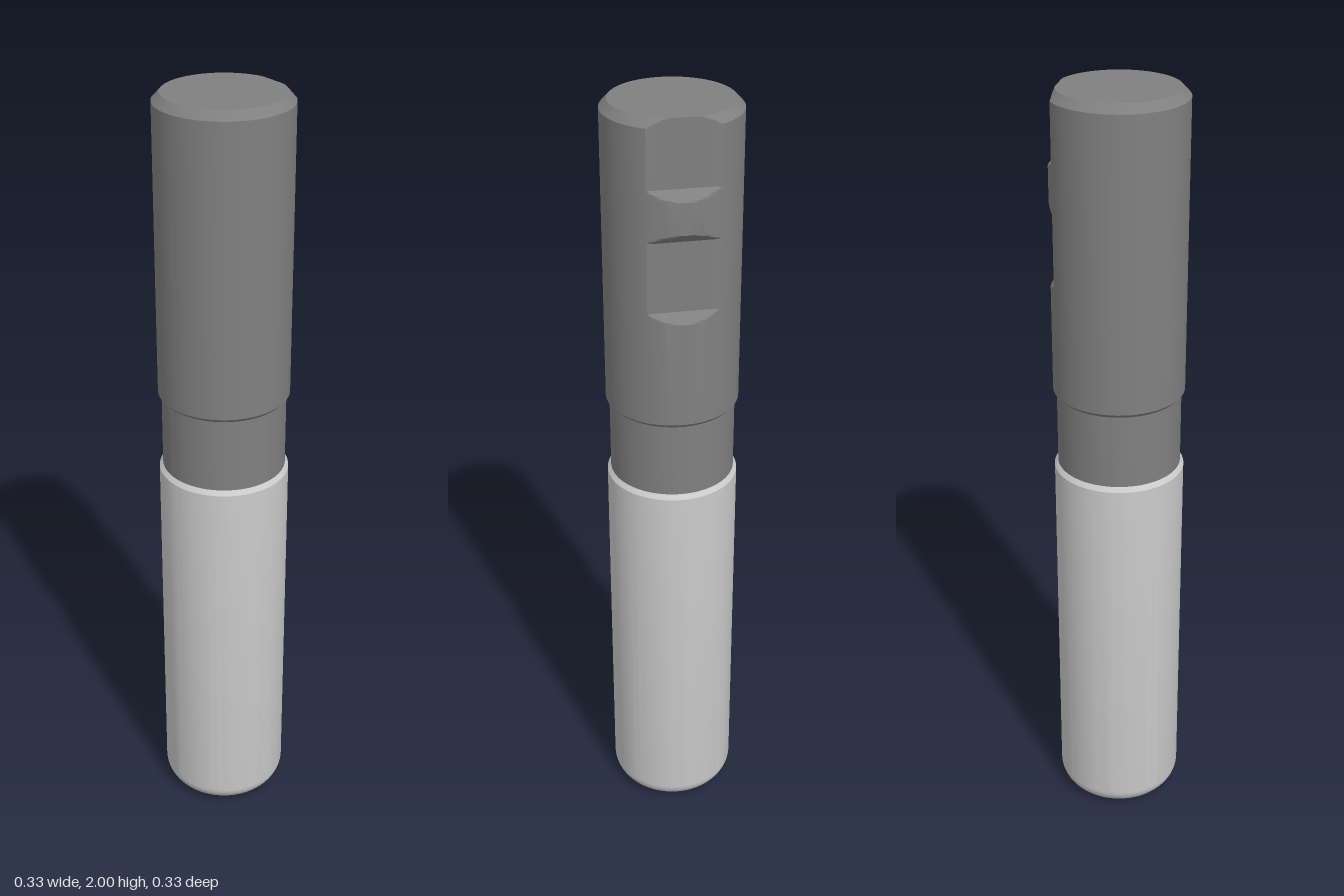
import * as THREE from 'three';
import { toCreasedNormals } from 'three/addons/utils/BufferGeometryUtils.js';

const R = 0.166, NECK = 0.157, FLAT = 0.142;
const SEGMENTS = 104; // puts a column of vertices on the long edges of the flats

// depth of the clamping flats on the back as [height, distance from the axis]
const FLAT_PROFILE = [
  [1.514, R], [1.538, FLAT], [1.712, FLAT], [1.736, R],
  [1.814, R], [1.838, FLAT], [2, FLAT],
];

function flatDepth(y) {
  for (let i = 1; i < FLAT_PROFILE.length; i++) {
    const [y0, d0] = FLAT_PROFILE[i - 1], [y1, d1] = FLAT_PROFILE[i];
    if (y >= y0 - 1e-5 && y <= y1 + 1e-5) return THREE.MathUtils.mapLinear(y, y0, y1, d0, d1);
  }
  return R;
}

function turned(name, points, color, cutFlats = false) {
  const geometry = new THREE.LatheGeometry(points.map(([r, y]) => new THREE.Vector2(r, y)), SEGMENTS);
  if (cutFlats) {
    const p = geometry.attributes.position;
    for (let i = 0; i < p.count; i++) p.setZ(i, Math.max(p.getZ(i), -flatDepth(p.getY(i))));
  }
  const mesh = new THREE.Mesh(toCreasedNormals(geometry, 0.4), new THREE.MeshStandardMaterial({ color }));
  mesh.name = name;
  return mesh;
}

// points from a to b, leaving out a
function steps(a, b, n) {
  return Array.from({ length: n }, (_, i) => {
    const t = (i + 1) / n;
    return [a[0] + (b[0] - a[0]) * t, a[1] + (b[1] - a[1]) * t];
  });
}

export function createModel() {
  const group = new THREE.Group();
  group.name = 'endMill';

  // cutting body with a rounded lower corner and a small upper chamfer
  const fillet = 0.06, body = [[0, 0]];
  for (let i = 0; i <= 12; i++) {
    const a = (i / 12) * Math.PI / 2;
    body.push([R - fillet + fillet * Math.sin(a), fillet - fillet * Math.cos(a)]);
  }
  body.push([R, 1.03], [NECK, 1.042]);
  group.add(turned('cuttingBody', body, 0xcccccc));

  // relieved neck
  group.add(turned('neck', [[NECK, 1.042], [NECK, 1.236]], 0x808080));

  // shank with two ramped flats on the back and a chamfered top
  const shank = [[NECK, 1.236], [R, 1.246], [R, FLAT_PROFILE[0][0]]];
  for (let i = 1; i < FLAT_PROFILE.length - 1; i++) {
    const [y0, d0] = FLAT_PROFILE[i - 1], [y1, d1] = FLAT_PROFILE[i];
    shank.push(...steps([R, y0], [R, y1], d0 === d1 ? 1 : 8));
  }
  shank.push([R, 1.98], ...steps([R, 1.98], [0.147, 2], 6), [0, 2]);
  group.add(turned('shank', shank, 0x808080, true));

  return group;
}
